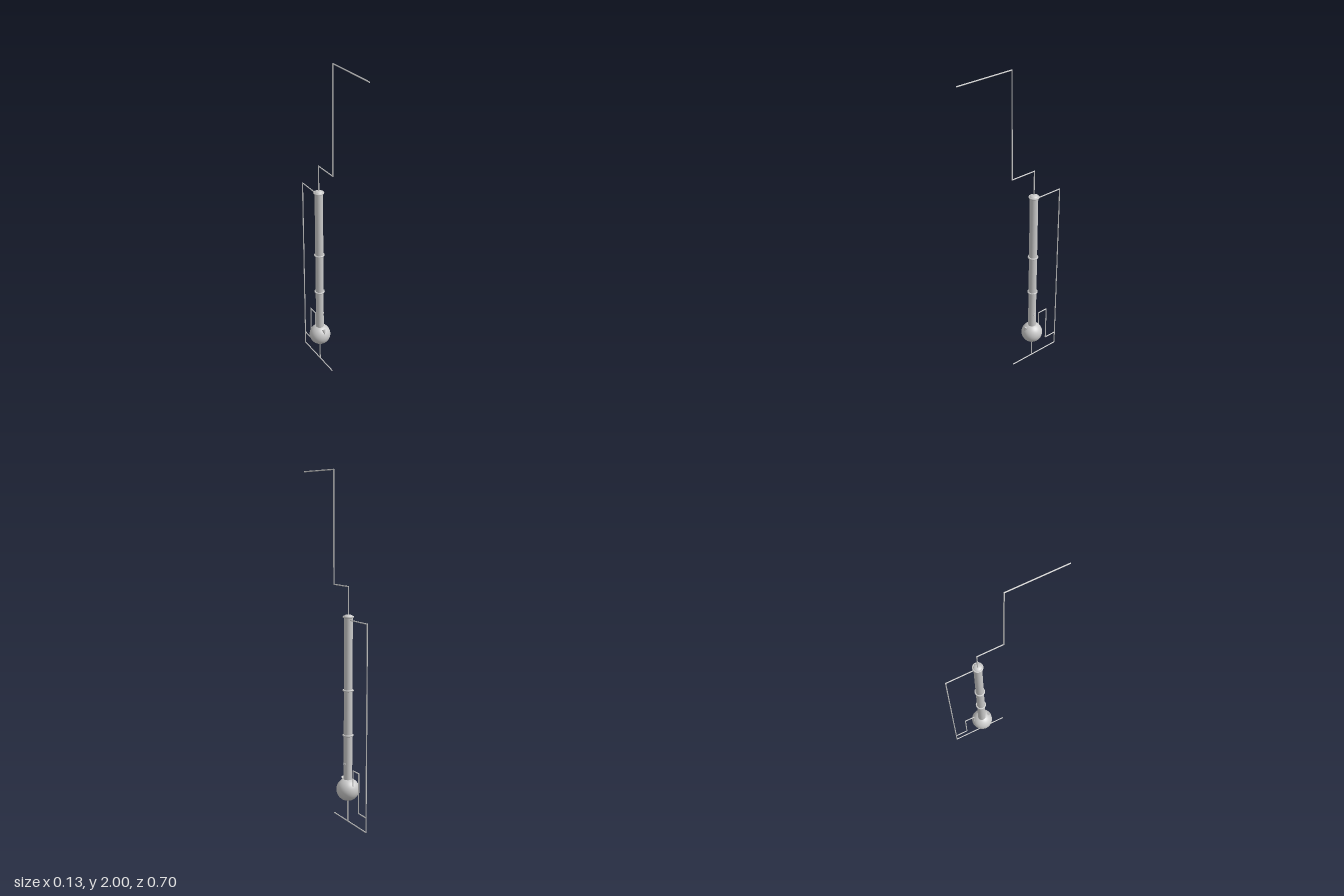
import * as THREE from 'three';

const R = 0.0035;      // pipe radius
const CZ = -0.152;     // column axis in z

export function createModel() {
  const model = new THREE.Group();
  const mat = new THREE.MeshStandardMaterial({ color: 0xcccccc });

  const add = (name, geo, x, y, z, parent = model) => {
    const mesh = new THREE.Mesh(geo, mat);
    mesh.name = name;
    mesh.position.set(x, y, z);
    parent.add(mesh);
    return mesh;
  };

  // Straight pipe runs in the x = 0 plane through [y, z] points, overlapping at the square corners
  const pipe = (name, points) => {
    const run = new THREE.Group();
    run.name = name;
    for (let i = 1; i < points.length; i++) {
      const a = new THREE.Vector3(0, ...points[i - 1]);
      const b = new THREE.Vector3(0, ...points[i]);
      const dir = b.clone().sub(a);
      const mid = a.clone().add(b).multiplyScalar(0.5);
      const last = i === points.length - 1;
      const seg = add('pipeSection', new THREE.CylinderGeometry(R, R, dir.length(), 12), mid.x, mid.y, mid.z, run);
      seg.quaternion.setFromUnitVectors(new THREE.Vector3(0, 1, 0), dir.normalize());
      if (!last) add('pipeElbow', new THREE.SphereGeometry(R, 12, 8), b.x, b.y, b.z, run);
    }
    model.add(run);
  };

  // Round boiling flask and the column above it
  add('flask', new THREE.SphereGeometry(0.066, 32, 24), 0, 0.2, CZ);
  add('column', new THREE.CylinderGeometry(0.0245, 0.0245, 0.95, 32), 0, 0.72, CZ);

  // Joint rings and the domed cap
  for (const y of [0.52, 0.78, 1.195]) {
    const ring = add('jointRing', new THREE.TorusGeometry(0.027, 0.005, 10, 32), 0, y, CZ);
    ring.rotation.x = Math.PI / 2;
  }
  const cap = add('domedCap', new THREE.SphereGeometry(0.026, 32, 8, 0, Math.PI * 2, 0, Math.PI / 2), 0, 1.195, CZ);
  cap.scale.y = 0.55;

  // Sight port on the side of the column
  const port = add('sightPort', new THREE.TorusGeometry(0.009, 0.002, 8, 20), 0.024, 0.353, CZ);
  port.rotation.y = Math.PI / 2;
  port.scale.y = 0.7;

  // Filling funnel on the front of the flask
  const funnel = add('fillingFunnel', new THREE.ConeGeometry(0.012, 0.032, 16), 0, 0.243, CZ + 0.056);
  funnel.rotation.x = Math.PI - 0.5;

  // Vapour line from the cap to the outlet
  pipe('vapourLine', [[1.2, CZ], [1.362, CZ], [1.362, 0.007], [2 - R, 0.007], [2 - R, 0.35]]);

  // Drain, ground line and tall return line
  pipe('drainLine', [[0.14, CZ], [0.007, CZ]]);
  pipe('returnLine', [[0.007, 0], [0.007, -0.3465], [1.178, -0.3465], [1.178, CZ - 0.02]]);

  // Branch looping from the return line into the flask
  pipe('flaskBranch', [[0.092, -0.3465], [0.092, -0.268], [0.325, -0.268], [0.325, -0.207], [0.22, -0.207]]);

  return model;
}
